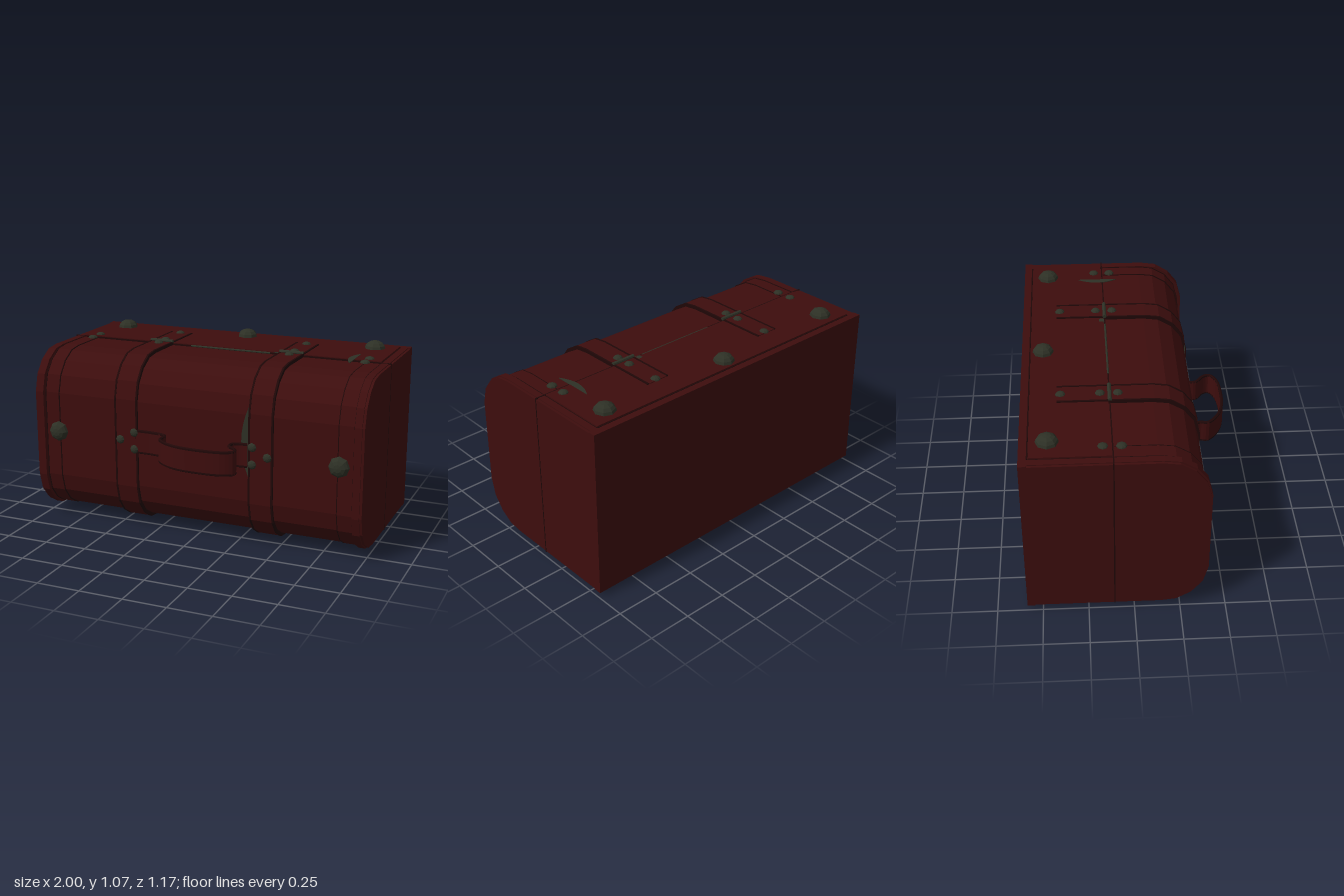
import * as THREE from 'three';

const mat = (name, color) => {
  const m = new THREE.MeshStandardMaterial({ color, flatShading: true });
  m.name = name;
  return m;
};

export function createModel() {
  const group = new THREE.Group();
  const leather = mat('dark red leather', 0x3d0d0d);
  const stitch = mat('dark stitching', 0x1f0707);
  const metal = mat('tarnished metal', 0x2d3025);
  const MID = 0.527;

  const add = (name, geo, material, x = 0, y = 0, z = 0, parent = group) => {
    const mesh = new THREE.Mesh(geo, material);
    mesh.name = name;
    mesh.position.set(x, y, z);
    parent.add(mesh);
    return mesh;
  };

  // Upper half of the rounded trunk section: [z, height above the middle]
  const curve = [[0.15, 0.493], [0.235, 0.482], [0.315, 0.433], [0.373, 0.358], [0.4, 0.255]];

  // Slab of the trunk section between x0 and x1, with its own front, half height and back
  const slab = (name, material, x0, x1, front, half, back) => {
    const upper = curve.map(([z, y]) => [z + front - 0.4, y * half / 0.493]);
    const lower = upper.map(([z, y]) => [z, -y]).reverse();
    const pts = [[back, half], ...upper, ...lower, [back, -half]];
    const shape = new THREE.Shape(pts.map(([z, y]) => new THREE.Vector2(z, y + MID)));
    const geo = new THREE.ExtrudeGeometry(shape, { depth: x1 - x0, bevelEnabled: false });
    geo.rotateY(-Math.PI / 2).translate(x1, 0, 0);
    add(name, geo, material);
  };

  // Main body and raised end frames
  slab('body', leather, -0.96, 0.96, 0.372, 0.486, -0.58);
  for (const s of [-1, 1]) {
    const span = (name, m, a, b, ...rest) => slab(name, m, Math.min(s * a, s * b), Math.max(s * a, s * b), ...rest);
    span('endFrame', leather, 0.945, 0.985, 0.4, 0.493, -0.585);
    span('endPanel', leather, 0.985, 0.999, 0.393, 0.488, -0.585);
    span('endFrameSeam', stitch, 0.938, 0.945, 0.379, 0.491, -0.54);
    span('endStrap', leather, 0.855, 0.938, 0.376, 0.489, -0.1);
    span('endStrapSeam', stitch, 0.85, 0.855, 0.377, 0.49, -0.1);
    // Belts wrapping the front, with stitched edges
    span('belt', leather, 0.35, 0.475, 0.381, 0.503, -0.39);
    span('beltStitching', stitch, 0.34, 0.351, 0.383, 0.505, -0.39);
    span('beltStitching', stitch, 0.474, 0.485, 0.383, 0.505, -0.39);
  }

  // Back frame, lid panels and seams
  add('backFrame', new THREE.BoxGeometry(1.998, 0.986, 0.043), leather, 0, MID, -0.5635);
  add('lidSeam', new THREE.BoxGeometry(2, 0.99, 0.007), stitch, 0, MID, -0.107);
  add('backFrameSeam', new THREE.BoxGeometry(1.88, 0.991, 0.007), stitch, 0, MID, -0.54);
  add('backPanel', new THREE.BoxGeometry(1.876, 0.998, 0.42), leather, 0, MID, -0.325);

  // Domed studs: axis is 'top', 'bottom' or 'front'
  const stud = (side, x, v, r, h) => {
    const geo = new THREE.SphereGeometry(1, 8, 4, 0, Math.PI * 2, 0, Math.PI / 2);
    geo.scale(r, h, r);
    if (side === 'top') add('topStud', geo, metal, x, 1.024, v);
    if (side === 'bottom') add('bottomStud', geo.rotateX(Math.PI), metal, x, 0.03, v);
    if (side === 'front') add('frontStud', geo.rotateX(Math.PI / 2), metal, x, v, 0.376);
  };
  for (const side of ['top', 'bottom']) {
    const h = side === 'top' ? 0.048 : 0.03;
    stud(side, 0, -0.465, 0.06, h);
    for (const s of [-1, 1]) {
      stud(side, s * 0.813, -0.44, 0.062, h);
      const rear = side === 'top' ? -0.158 : -0.215;
      for (const z of [-0.062, rear]) {
        stud(side, s * 0.86, z, 0.029, 0.016);
        stud(side, s * 0.413, z, 0.029, 0.022);
      }
      stud(side, s * 0.413, -0.37, 0.029, 0.02);
    }
  }
  for (const s of [-1, 1]) {
    stud('front', s * 0.86, 0.548, 0.06, 0.04);
    stud('front', s * 0.362, 0.597, 0.028, 0.018);
    stud('front', s * 0.362, 0.497, 0.028, 0.018);
    stud('front', s * 0.452, 0.547, 0.028, 0.018);
  }

  // Hinges and lid rod on the top seam
  const rod = (name, length, r, x, y) =>
    add(name, new THREE.CylinderGeometry(r, r, length, 8).rotateZ(Math.PI / 2), metal, x, y, -0.107);
  for (const s of [-1, 1]) {
    rod('hingeRod', 0.145, 0.011, s * 0.412, 1.034);
  }
  rod('lidRod', 0.5, 0.006, 0.03, 1.018);
  add('latchTip', new THREE.BoxGeometry(0.03, 0.012, 0.03), metal, 0.315, 1.02, -0.125);

  // Rosette underneath: a hub ringed by petals
  const rosette = new THREE.Group();
  rosette.name = 'rosette';
  rosette.position.set(0, 0.034, -0.14);
  group.add(rosette);
  add('rosetteHub', new THREE.SphereGeometry(0.025, 8, 6).scale(1, 0.5, 1), metal, 0, 0, 0, rosette);
  for (let i = 0; i < 8; i++) {
    const a = i * Math.PI / 4;
    const petal = new THREE.SphereGeometry(0.024, 6, 4).scale(1, 0.5, 0.7).rotateY(-a);
    add('rosettePetal', petal, metal, Math.cos(a) * 0.048, 0, Math.sin(a) * 0.048, rosette);
  }

  // Thin metal inlays showing through the leather
  const inlay = (half, width) => {
    const s = new THREE.Shape();
    s.moveTo(0, -half);
    s.quadraticCurveTo(-width * 2, 0, 0, half);
    return new THREE.ExtrudeGeometry(s, { depth: 0.004, bevelEnabled: false, curveSegments: 8 });
  };
  add('frontInlay', inlay(0.2, 0.042), metal, 0.338, 0.62, 0.371);
  add('topInlay', inlay(0.12, 0.038).rotateX(-Math.PI / 2), metal, 0.783, 1.023, -0.14);

  // Curved leather handle: a ribbon with stitched edges
  const path = new THREE.CatmullRomCurve3([
    [-0.35, 0.375], [-0.25, 0.377], [-0.165, 0.395], [-0.15, 0.425], [-0.155, 0.47], [-0.1, 0.525],
    [-0.01, 0.564], [0.13, 0.576], [0.26, 0.562], [0.314, 0.525], [0.3, 0.483], [0.25, 0.44],
    [0.25, 0.395], [0.29, 0.377], [0.335, 0.375],
  ].map(([x, z]) => new THREE.Vector3(x, z, 0)));
  const outer = [], inner = [];
  for (let i = 0; i <= 48; i++) {
    const p = path.getPoint(i / 48), t = path.getTangent(i / 48);
    outer.push(new THREE.Vector2(p.x - t.y * 0.008, p.y + t.x * 0.008));
    inner.unshift(new THREE.Vector2(p.x + t.y * 0.008, p.y - t.x * 0.008));
  }
  const ribbon = new THREE.ExtrudeGeometry(new THREE.Shape([...outer, ...inner]), { depth: 0.13, bevelEnabled: false });
  add('handle', ribbon.rotateX(Math.PI / 2), leather, 0, 0.61, 0);
  for (const y of [0.482, 0.607]) {
    add('handleStitching', new THREE.TubeGeometry(path, 60, 0.0095, 6).rotateX(Math.PI / 2), stitch, 0, y, 0);
  }
  return group;
}
